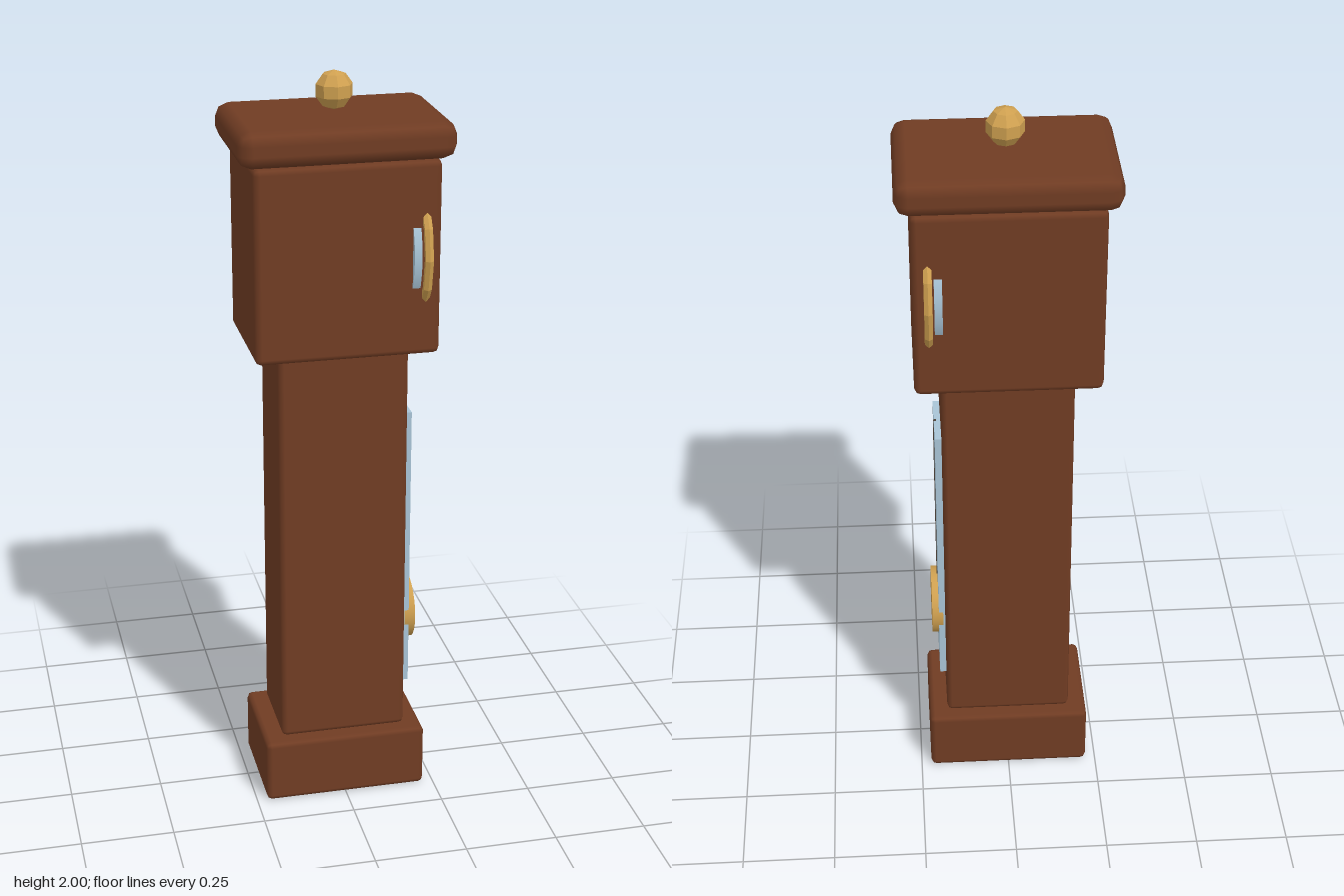
import * as THREE from 'three';
import { RoundedBoxGeometry } from 'three/addons/geometries/RoundedBoxGeometry.js';

const mat = (name, color, flatShading = false) => {
  const m = new THREE.MeshStandardMaterial({ color, flatShading });
  m.name = name;
  return m;
};

export function createModel() {
  const clock = new THREE.Group();
  clock.name = 'longcaseClock';
  const wood = mat('wood', 0x703c23);
  const brass = mat('brass', 0xcfa050, true);
  const glass = mat('paleBlue', 0xa8c4d6);
  const dark = mat('darkSteel', 0x4a4038);

  const add = (name, geometry, material, x, y, z = 0) => {
    const mesh = new THREE.Mesh(geometry, material);
    mesh.name = name;
    mesh.position.set(x, y, z);
    clock.add(mesh);
    return mesh;
  };

  // Wooden case: name, width, bottom, top, depth, edge radius
  const blocks = [
    ['base', 0.445, 0, 0.178, 0.31, 0.014],
    ['trunk', 0.345, 0.178, 1.29, 0.24, 0.014],
    ['hood', 0.48, 1.29, 1.8, 0.344, 0.016],
    ['cornice', 0.554, 1.8, 1.895, 0.382, 0.035],
  ];
  for (const [name, w, y0, y1, d, r] of blocks) {
    add(name, new RoundedBoxGeometry(w, y1 - y0, d, 1, r), wood, 0, (y0 + y1) / 2);
  }

  // Finial on the roof
  add('finial', new THREE.SphereGeometry(0.05, 8, 5), brass, 0, 1.95);

  // Dial and bezel, mostly sunk into the hood, facing +x
  const disc = (r, t, n) => new THREE.CylinderGeometry(r, r, t, n).rotateZ(-Math.PI / 2);
  add('dial', disc(0.19, 0.02, 32), glass, 0.175, 1.55);
  add('bezel', new THREE.TorusGeometry(0.2, 0.012, 6, 16).rotateY(Math.PI / 2), brass, 0.2, 1.55);

  // Glass door with the pendulum
  add('doorGlass', new THREE.BoxGeometry(0.02, 0.8, 0.18), glass, 0.18, 0.7);
  add('pendulumRod', new THREE.BoxGeometry(0.008, 0.6, 0.008), dark, 0.188, 0.8);
  const bobBrass = mat('brassSmooth', 0xcfa050);
  add('pendulumBob', disc(0.093, 0.03, 32), bobBrass, 0.193, 0.493);

  return clock;
}
